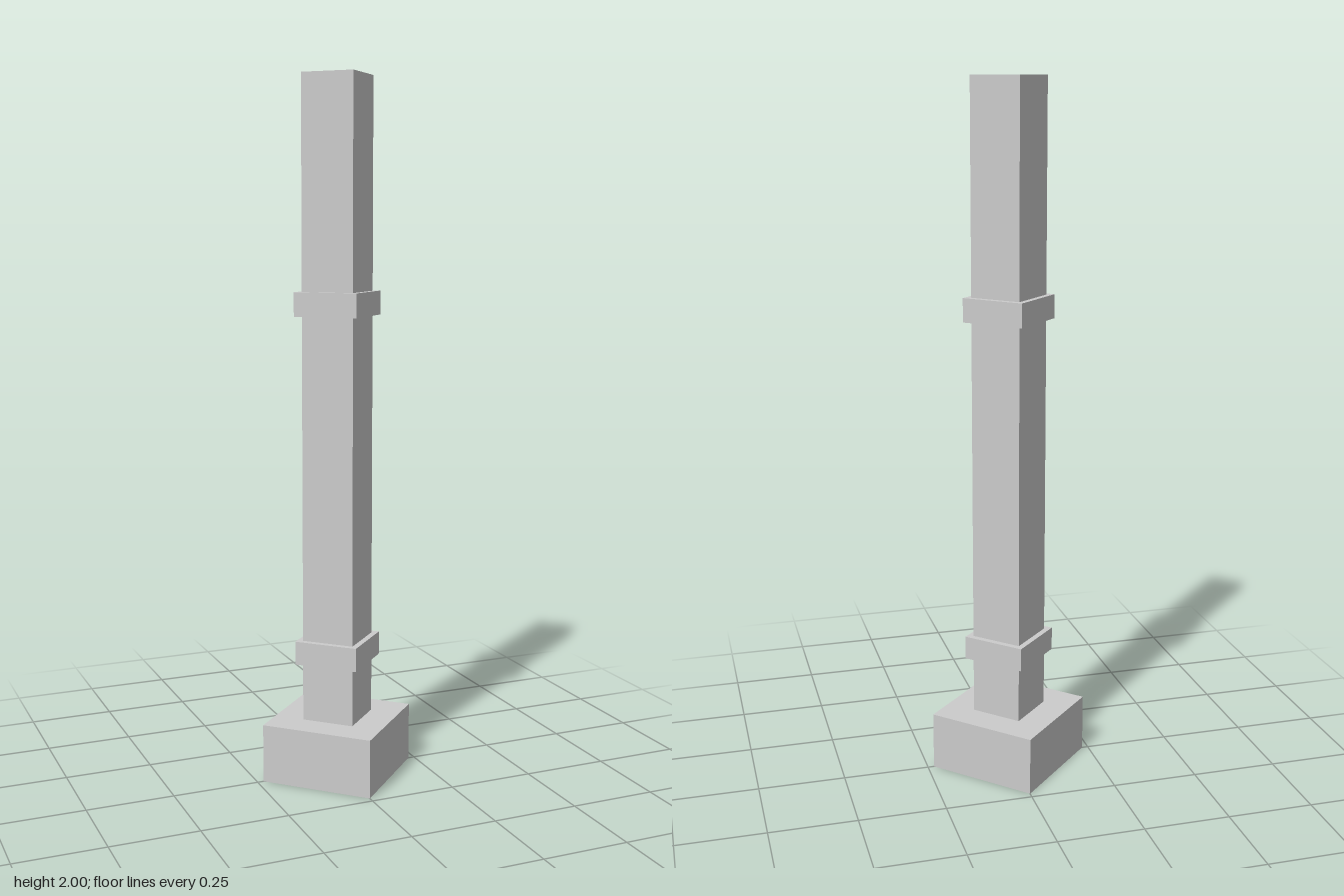
import * as THREE from 'three';

export function createModel() {
  const group = new THREE.Group();
  const material = new THREE.MeshStandardMaterial({ color: 0xcccccc, flatShading: true });

  // Square block with its corners on the x and z axes
  function block(name, radius, bottom, top) {
    const geometry = new THREE.CylinderGeometry(radius, radius, top - bottom, 4);
    const mesh = new THREE.Mesh(geometry, material);
    mesh.name = name;
    mesh.position.y = (bottom + top) / 2;
    group.add(mesh);
  }

  // Footing and the post standing on it
  block('base', 0.232, 0, 0.169);
  block('shaft', 0.108, 0.169, 2);

  // Two bands around the post
  block('lowerCollar', 0.132, 0.337, 0.405);
  block('upperCollar', 0.132, 1.337, 1.405);

  return group;
}
